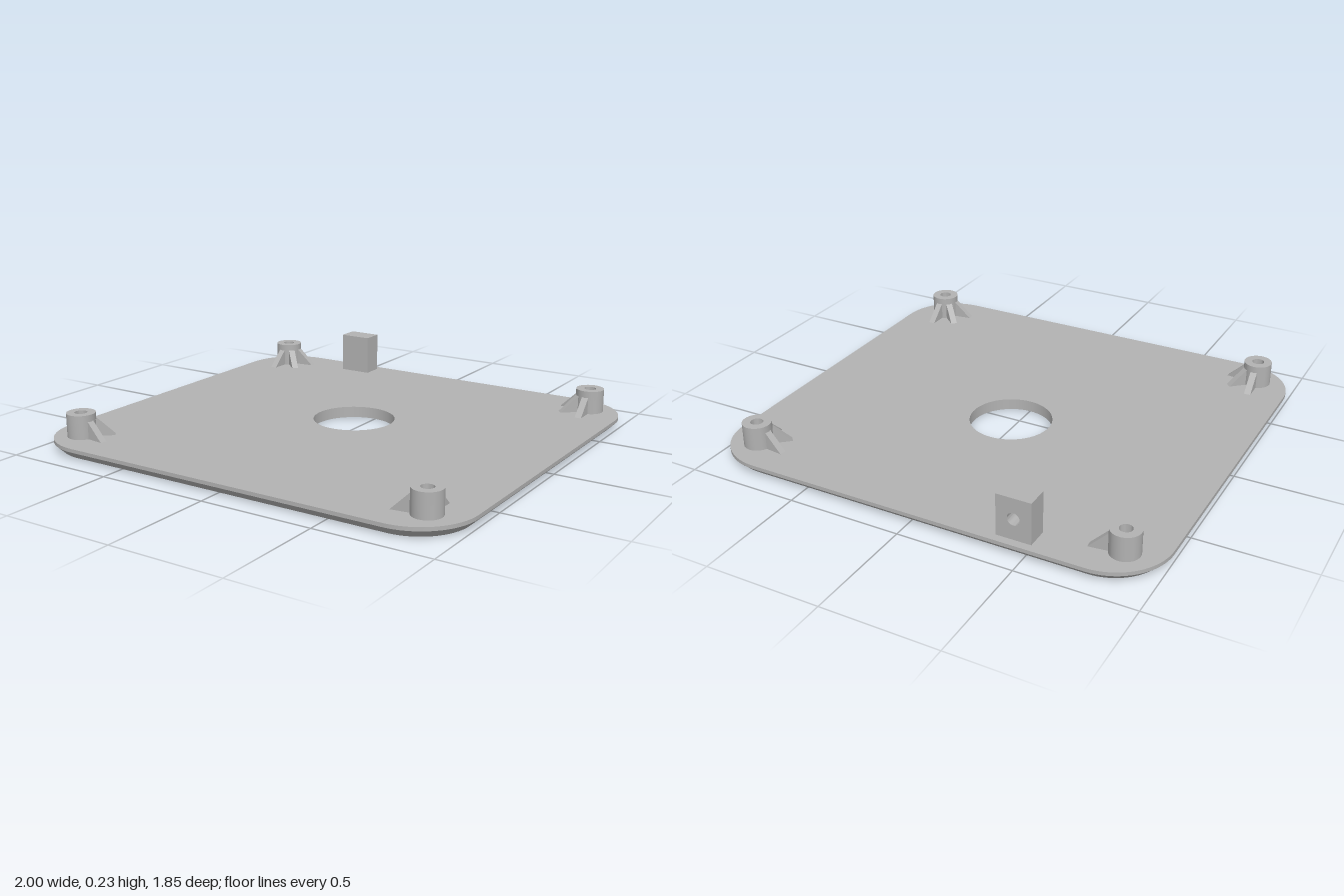
import * as THREE from 'three';
import { toCreasedNormals } from 'three/addons/utils/BufferGeometryUtils.js';

const PLATE_TOP = 0.05, BEVEL_TOP = 0.034, INSET = 0.035;
const HALF_X = 1, HALF_Z = 0.925, CORNER = 0.25;
const HOLE_R = 0.182, HOLE_Z = -0.08;

const grey = new THREE.MeshStandardMaterial({ color: 0xb2b2b2, side: THREE.DoubleSide });
grey.name = 'grey plastic';

function mesh(name, geometry) {
  const m = new THREE.Mesh(geometry, grey);
  m.name = name;
  return m;
}

// Rounded rectangle outline, shrunk by an inset; anticlockwise points
function outline(inset) {
  const r = CORNER - inset, cx = HALF_X - CORNER, cz = HALF_Z - CORNER, n = 16, pts = [];
  [[1, 1], [-1, 1], [-1, -1], [1, -1]].forEach(([sx, sy], corner) => {
    for (let i = 0; i <= n; i++) {
      const a = (corner + i / n) * Math.PI / 2;
      pts.push(new THREE.Vector2(sx * cx + r * Math.cos(a), sy * cz + r * Math.sin(a)));
    }
  });
  return pts;
}

function circleHole(x, y, r) {
  const path = new THREE.Path();
  path.absarc(x, y, r, 0, Math.PI * 2, true);
  return path;
}

// Flat face of the plate with its round opening
function plateFace(inset, holeY) {
  const shape = new THREE.Shape(outline(inset));
  shape.holes.push(circleHole(0, holeY, HOLE_R));
  return new THREE.ShapeGeometry(shape, 32);
}

// Rim lofted through the outline at three heights
function rimGeometry() {
  const levels = [[INSET, 0], [0, BEVEL_TOP], [0, PLATE_TOP]];
  const pos = [], index = [];
  let n = 0;
  for (const [inset, y] of levels) {
    const pts = outline(inset);
    n = pts.length;
    pts.forEach(p => pos.push(p.x, y, -p.y));
  }
  for (let k = 0; k < levels.length - 1; k++) {
    for (let i = 0; i < n; i++) {
      const j = (i + 1) % n, a = k * n + i, b = k * n + j;
      index.push(a, b, b + n, a, b + n, a + n);
    }
  }
  const g = new THREE.BufferGeometry();
  g.setAttribute('position', new THREE.Float32BufferAttribute(pos, 3));
  g.setIndex(index);
  return toCreasedNormals(g, 0.5);
}

function makePlate() {
  const plate = new THREE.Group();
  plate.name = 'plate';
  const top = mesh('plateTop', plateFace(0, -HOLE_Z).rotateX(-Math.PI / 2));
  top.position.y = PLATE_TOP;
  const bottom = mesh('plateBottom', plateFace(INSET, HOLE_Z).rotateX(Math.PI / 2));
  const wall = mesh('openingWall',
    new THREE.CylinderGeometry(HOLE_R, HOLE_R, PLATE_TOP, 64, 1, true).scale(1, 1, 1));
  wall.position.set(0, PLATE_TOP / 2, HOLE_Z);
  plate.add(top, bottom, wall, mesh('plateRim', rimGeometry()));
  return plate;
}

// Hollow screw post with three triangular ribs pointing inward
function makePost(sx, sz) {
  const post = new THREE.Group();
  post.name = 'screwPost';
  const h = 0.105, r = 0.0625, bore = 0.027;
  const profile = [[r, 0], [r, h], [bore, h], [bore, 0]].map(p => new THREE.Vector2(...p));
  post.add(mesh('postTube', toCreasedNormals(new THREE.LatheGeometry(profile, 36), 0.5)));

  const ribShape = new THREE.Shape();
  ribShape.moveTo(0.05, 0);
  ribShape.lineTo(0.14, 0);
  ribShape.lineTo(0.06, 0.077);
  ribShape.lineTo(0.05, 0.077);
  const ribGeometry = new THREE.ExtrudeGeometry(ribShape, { depth: 0.03, bevelEnabled: false })
    .translate(0, 0, -0.015);
  for (const degrees of [-7, 42, 91]) {
    const a = THREE.MathUtils.degToRad(degrees);
    const rib = mesh('rib', ribGeometry);
    rib.rotation.y = Math.atan2(sz * Math.sin(a), -sx * Math.cos(a));
    post.add(rib);
  }
  post.position.set(sx * 0.842, PLATE_TOP, sz * 0.767);
  return post;
}

// Upright block with a blind hole in its back face
function makeBlock() {
  const block = new THREE.Group();
  block.name = 'block';
  const w = 0.15, h = 0.182, holeDepth = 0.07, wall = 0.026;
  const shape = new THREE.Shape();
  shape.moveTo(-w / 2, 0);
  shape.lineTo(w / 2, 0);
  shape.lineTo(w / 2, h);
  shape.lineTo(-w / 2, h);
  shape.holes.push(circleHole(0, h / 2, 0.027));
  const body = new THREE.ExtrudeGeometry(shape,
    { depth: holeDepth, bevelEnabled: false, curveSegments: 24 });
  const front = mesh('blockFront', new THREE.BoxGeometry(w, h, wall));
  front.position.set(0, h / 2, holeDepth + wall / 2);
  block.add(mesh('blockBody', toCreasedNormals(body, 0.5)), front);
  block.position.set(-0.445, PLATE_TOP, -0.89);
  return block;
}

export function createModel() {
  const model = new THREE.Group();
  model.name = 'coverPlate';
  model.add(makePlate(), makeBlock());
  for (const sx of [-1, 1]) for (const sz of [-1, 1]) model.add(makePost(sx, sz));
  return model;
}
